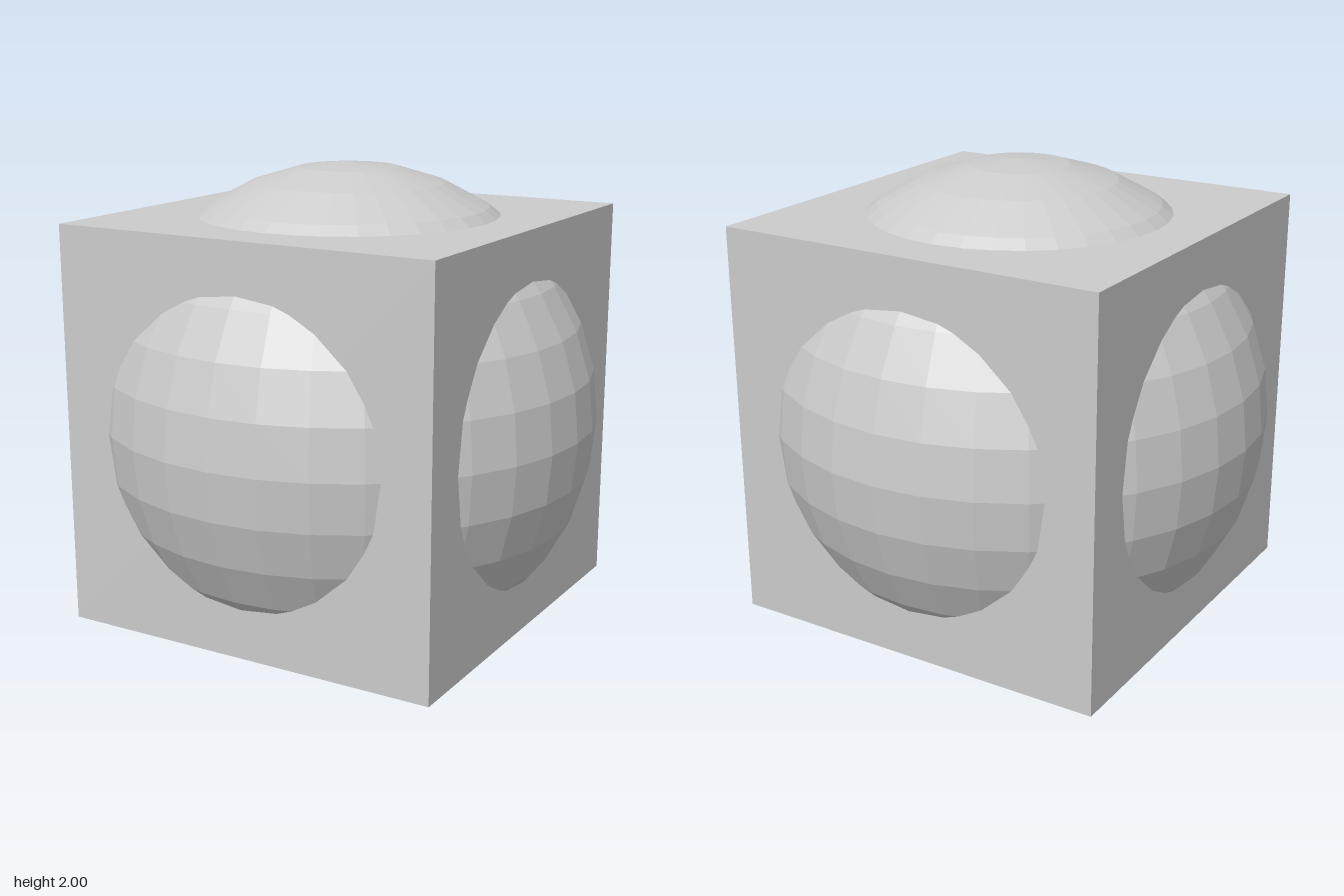
import * as THREE from 'three';

export function createModel() {
  const group = new THREE.Group();
  const material = new THREE.MeshStandardMaterial({ color: 0xcccccc, flatShading: true });

  const addPart = (name, geometry) => {
    const mesh = new THREE.Mesh(geometry, material);
    mesh.name = name;
    mesh.position.y = 1;
    group.add(mesh);
  };

  // Cube with a larger faceted ball bulging through all six faces
  addPart('cube', new THREE.BoxGeometry(1.593, 1.593, 1.593));
  addPart('ball', new THREE.SphereGeometry(1, 32, 16));

  return group;
}
